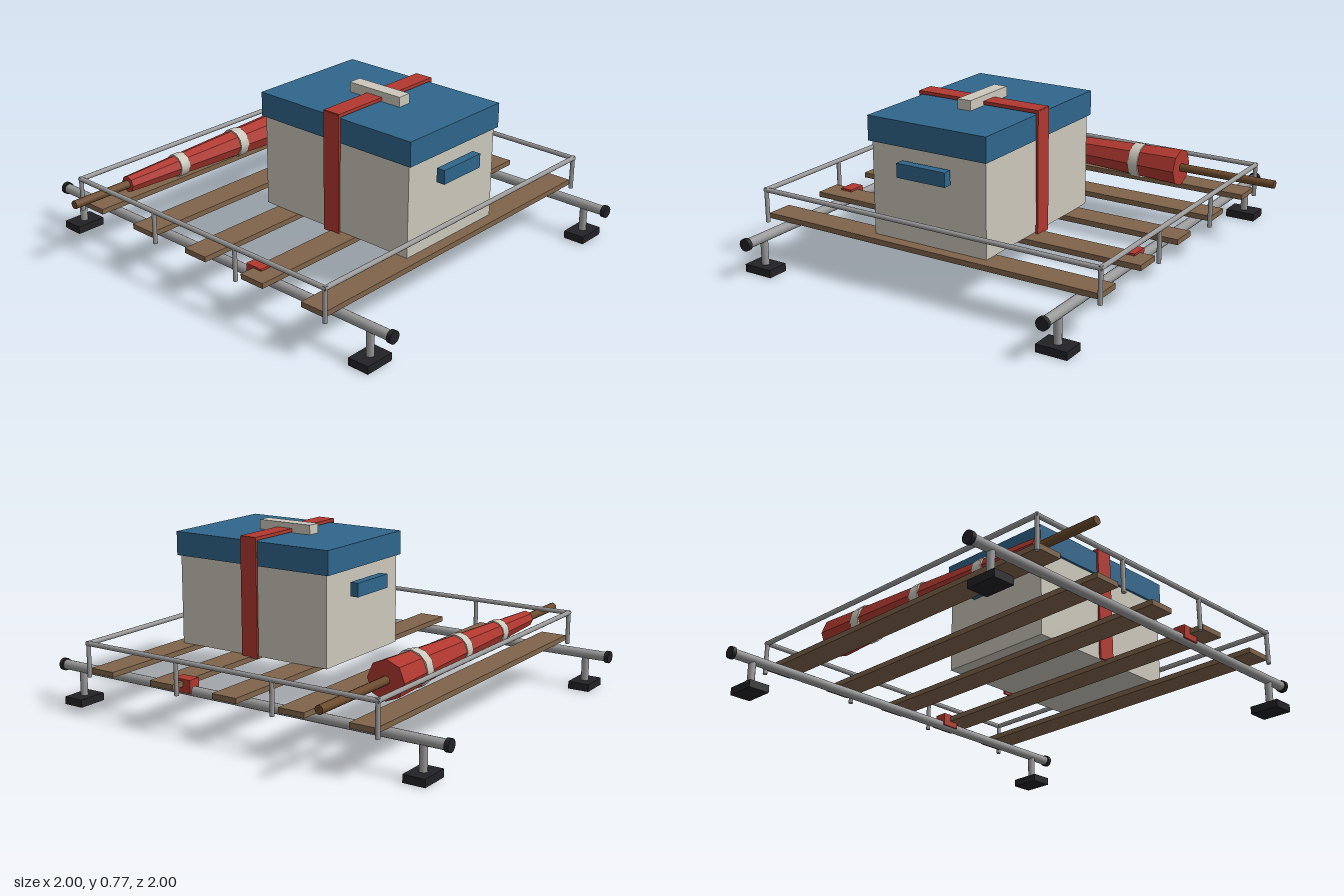
import * as THREE from 'three';

const mat = (color, flatShading = false) => new THREE.MeshStandardMaterial({ color, flatShading });
const METAL = mat(0x9a9a9a), BLACK = mat(0x222226), WOOD = mat(0x80644a), POLE = mat(0x6b4a2c);
const RED = mat(0xb0382f, true), BLUE = mat(0x2f668c), CREAM = mat(0xccc8bc);

export function createModel() {
  const root = new THREE.Group();

  const add = (parent, name, geometry, material, x, y, z) => {
    const mesh = new THREE.Mesh(geometry, material);
    mesh.name = name;
    mesh.position.set(x, y, z);
    parent.add(mesh);
    return mesh;
  };
  const box = (parent, name, material, [w, h, d], [x, y, z]) =>
    add(parent, name, new THREE.BoxGeometry(w, h, d), material, x, y, z);
  // Cylinder centred at a point and lying along the named axis; rPos is the radius at the + end
  const rod = (parent, name, material, axis, rPos, rNeg, length, [x, y, z], sides = 12) => {
    const g = new THREE.CylinderGeometry(rPos, rNeg, length, sides);
    if (axis === 'x') g.rotateZ(-Math.PI / 2);
    if (axis === 'z') g.rotateX(Math.PI / 2);
    return add(parent, name, g, material, x, y, z);
  };
  const group = (name) => {
    const g = new THREE.Group();
    g.name = name;
    root.add(g);
    return g;
  };

  // Crossbars with end caps and feet
  const bars = group('crossbars');
  for (const z of [-0.738, 0.738]) {
    rod(bars, 'crossbar', METAL, 'x', 0.022, 0.022, 1.97, [0, 0.16, z], 16);
    for (const s of [-1, 1]) {
      rod(bars, 'endCap', BLACK, 'x', 0.028, 0.028, 0.02, [s * 0.99, 0.16, z], 16);
      rod(bars, 'footPost', METAL, 'y', 0.017, 0.017, 0.12, [s * 0.88, 0.09, z]);
      box(bars, 'footPad', BLACK, [0.1, 0.035, 0.14], [s * 0.88, 0.0175, z]);
    }
  }

  // Wooden slats
  const deck = group('slats');
  for (let i = -2; i <= 2; i++) box(deck, 'slat', WOOD, [0.124, 0.024, 1.67], [i * 0.335, 0.193, 0]);

  // Guard rail
  const rail = group('guardRail');
  const X = 0.74, Z = 0.84, Y = 0.315, R = 0.011;
  for (const s of [-1, 1]) {
    rod(rail, 'railLong', METAL, 'z', R, R, 2 * Z + 0.015, [s * X, Y, 0]);
    rod(rail, 'railCross', METAL, 'x', R, R, 2 * X + 0.015, [0, Y, s * Z]);
    for (let i = 0; i < 4; i++)
      rod(rail, 'railPost', METAL, 'y', 0.01, 0.01, 0.15, [X * (-1 + (2 * i) / 3), 0.24, s * Z]);
  }

  // Cool box
  const cooler = group('coolBox');
  const cx = 0.278;
  box(cooler, 'coolBoxBody', CREAM, [0.805, 0.415, 0.565], [cx, 0.4125, 0]);
  box(cooler, 'coolBoxLid', BLUE, [0.835, 0.11, 0.588], [cx, 0.675, 0]);
  box(cooler, 'topHandle', CREAM, [0.28, 0.045, 0.065], [cx, 0.752, 0]);
  for (const s of [-1, 1]) box(cooler, 'sideHandle', BLUE, [0.04, 0.063, 0.24], [cx + s * 0.437, 0.531, 0]);

  // Strap over the box, with clips on the crossbars
  const strap = group('strap');
  box(strap, 'strapTop', RED, [0.085, 0.015, 0.606], [cx, 0.742, 0]);
  for (const s of [-1, 1]) {
    box(strap, 'strapSide', RED, [0.085, 0.545, 0.01], [cx, 0.4725, s * 0.299]);
    box(strap, 'strapClip', RED, [0.085, 0.06, 0.058], [cx, 0.184, s * 0.738]);
  }

  // Furled parasol on its pole
  const parasol = group('parasol');
  const px = -0.583, py = 0.293;
  const radiusAt = (z) => 0.088 - (0.05 * (z + 0.535)) / 1.24;
  rod(parasol, 'parasolPole', POLE, 'z', 0.019, 0.019, 2, [px, py, 0]);
  rod(parasol, 'parasolCanopy', RED, 'z', radiusAt(0.705), radiusAt(-0.535), 1.24, [px, py, 0.085], 8);
  for (const z of [-0.32, 0.043, 0.405]) {
    const r = radiusAt(z) + 0.004;
    rod(parasol, 'parasolBand', CREAM, 'z', r, r, 0.05, [px, py, z]);
  }

  return root;
}
